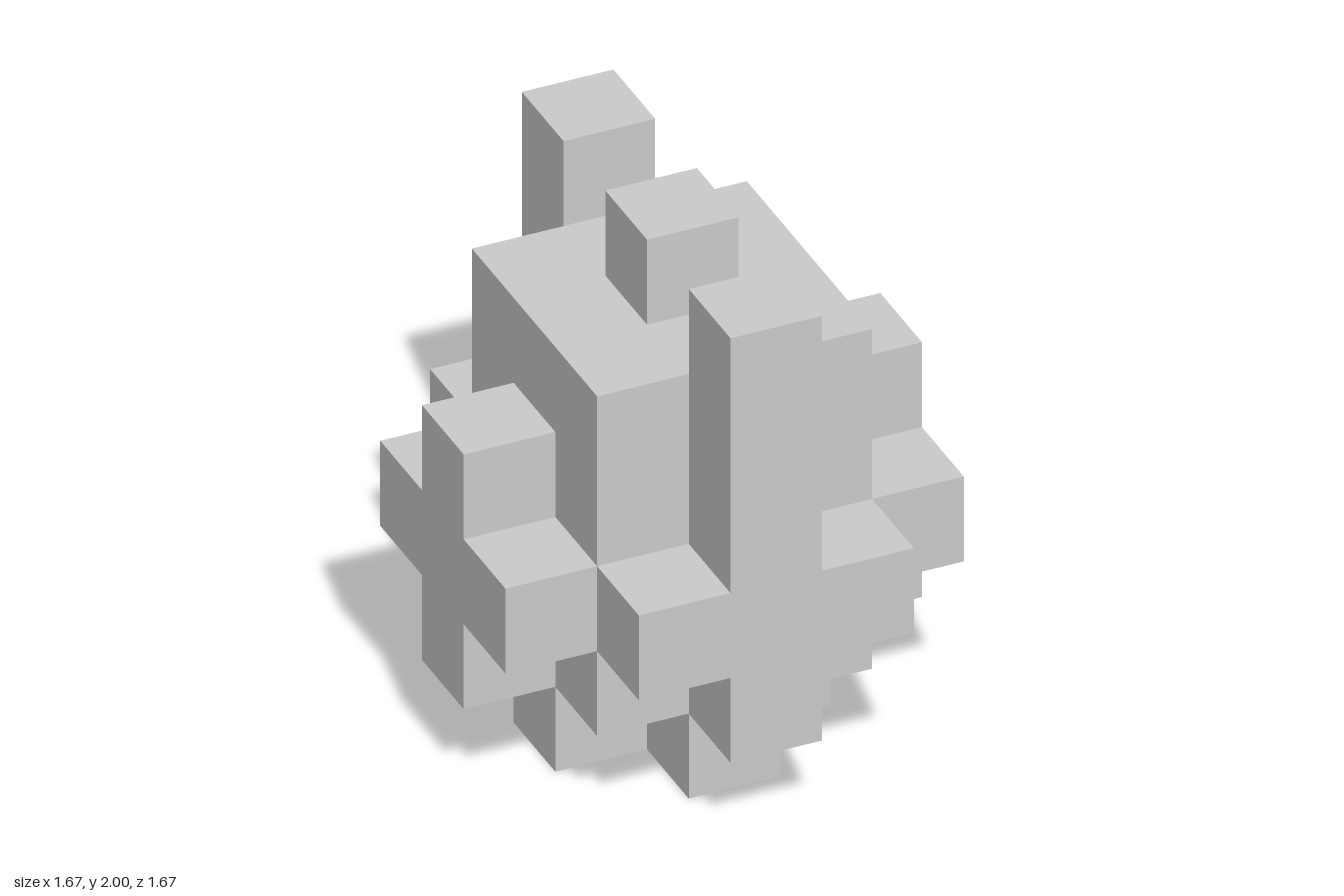
import * as THREE from 'three';

const U = 1 / 3; // edge of one cube cell
const material = new THREE.MeshStandardMaterial({ color: 0xcccccc, flatShading: true });

// One-cell-thick plus shape; the upper arm ends `top` cells above the centre
function crossGeometry(top) {
  const a = 0.5, b = 1.5;
  const outline = [
    [-a, -b], [a, -b], [a, -a], [b, -a], [b, a], [a, a],
    [a, top], [-a, top], [-a, a], [-b, a], [-b, -a], [-a, -a],
  ].map(([x, y]) => new THREE.Vector2(x * U, y * U));
  return new THREE.ExtrudeGeometry(new THREE.Shape(outline), { depth: U, bevelEnabled: false });
}

export function createModel() {
  const model = new THREE.Group();
  model.name = 'cubeBurr';

  const add = (name, geometry) => {
    const mesh = new THREE.Mesh(geometry, material);
    mesh.name = name;
    model.add(mesh);
  };

  // Central block, 3 x 4 x 3 cells
  add('core', new THREE.BoxGeometry(3 * U, 4 * U, 3 * U).translate(0, 3 * U, 0));

  // Single cube on top
  add('topCube', new THREE.BoxGeometry(U, U, U).translate(0, 5.5 * U, 0));

  // Crosses on the four sides: tall at front and back, short at left and right
  ['frontCross', 'leftCross', 'backCross', 'rightCross'].forEach((name, i) => {
    const geometry = crossGeometry(i % 2 ? 1.5 : 3.5);
    add(name, geometry.translate(0, 2.5 * U, 1.5 * U).rotateY((i * Math.PI) / 2));
  });

  // Cross-shaped foot
  add('footCross', crossGeometry(1.5).rotateX(-Math.PI / 2));

  return model;
}
